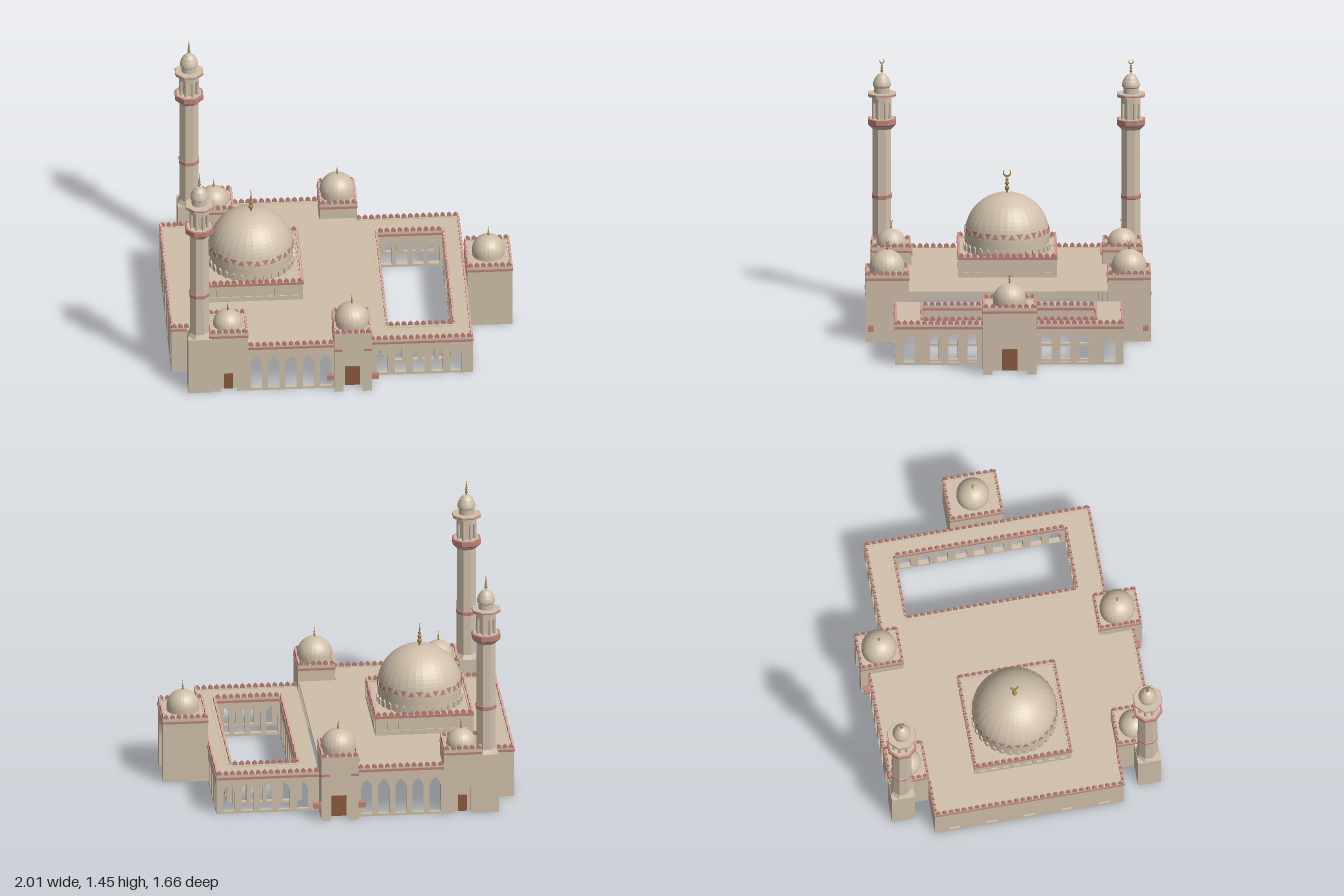
import * as THREE from 'three';
import { mergeGeometries } from 'three/addons/utils/BufferGeometryUtils.js';

const mat = (name, color) => Object.assign(new THREE.MeshStandardMaterial({ color }), { name });

export function createModel() {
  const stone = mat('sandstone', 0xcfbfaa), pink = mat('pinkTrim', 0xbd8278);
  const wood = mat('doorWood', 0x8a5a3a), gold = mat('gold', 0xa08444);
  const model = new THREE.Group();
  model.name = 'domedCourtyardBuilding';

  const add = (parent, name, geo, material, x = 0, y = 0, z = 0) => {
    const m = new THREE.Mesh(geo, material);
    m.name = name;
    m.position.set(x, y, z);
    parent.add(m);
    return m;
  };
  const group = (parent, name, x = 0, y = 0, z = 0, turn = 0) => {
    const g = new THREE.Group();
    g.name = name;
    g.position.set(x, y, z);
    g.rotation.y = turn;
    parent.add(g);
    return g;
  };
  const box = (w, h, d) => new THREE.BoxGeometry(w, h, d);
  const faceted = (geo) => {
    const g = geo.toNonIndexed();
    g.computeVertexNormals();
    return g;
  };
  const extrude = (shape, depth) => new THREE.ExtrudeGeometry(shape, { depth, bevelEnabled: false, curveSegments: 6 });
  // Horizontal slab from an x/z outline, with its top at y
  const slab = (name, pts, hole, y) => {
    const s = new THREE.Shape(pts.map(([x, z]) => new THREE.Vector2(x, -z)));
    if (hole) s.holes.push(new THREE.Path(hole.map(([x, z]) => new THREE.Vector2(x, -z))));
    add(model, name, extrude(s, 0.012).rotateX(-Math.PI / 2), stone, 0, y - 0.012, 0);
  };
  const rect = (x0, x1, z0, z1) => [[x0, z0], [x1, z0], [x1, z1], [x0, z1]];

  // Traces a pointed arch (or a plain rectangle) from its left foot to its right foot
  const traceArch = (p, { at, w, sill = 0.015, top, flat }) => {
    const spring = flat ? top : top - w * 0.85;
    p.lineTo(at - w / 2, sill);
    p.lineTo(at - w / 2, spring);
    if (flat) p.lineTo(at + w / 2, spring);
    else {
      p.quadraticCurveTo(at - w * 0.45, top - w * 0.25, at, top);
      p.quadraticCurveTo(at + w * 0.45, top - w * 0.25, at + w / 2, spring);
    }
    p.lineTo(at + w / 2, sill);
  };
  const merlonShape = new THREE.Shape([[-0.014, 0], [0.014, 0], [0.014, 0.012], [0, 0.025], [-0.014, 0.012]]
    .map((p) => new THREE.Vector2(...p)));
  const merlonGeo = extrude(merlonShape, 0.012);

  // Wall from a to b (x, z); its outer side lies to the right of the walking direction
  const wall = (parent, name, a, b, h, { y = 0, arches = [], band, closed, t = 0.02, merlons = true } = {}) => {
    const dx = b[0] - a[0], dz = b[1] - a[1], len = Math.hypot(dx, dz);
    const g = group(parent, name, a[0], y, a[1], Math.atan2(-dz, dx));
    const s = new THREE.Shape();
    s.moveTo(0, 0);
    for (const o of arches) if (o.sill === 0) traceArch(s, o);
    s.lineTo(len, 0);
    s.lineTo(len, h);
    s.lineTo(0, h);
    for (const o of arches) {
      if (o.sill === 0) continue;
      const hole = new THREE.Path();
      hole.moveTo(o.at + o.w / 2, o.sill ?? 0.015);
      traceArch(hole, o);
      s.holes.push(hole);
    }
    add(g, 'wallPanel', extrude(s, t), stone, 0, 0, -t);
    if (closed) for (const o of arches) {
      add(g, 'windowPanel', box(o.w + 0.01, o.top, 0.005), stone, o.at, o.top / 2 + 0.005, -t * 0.6);
    }
    if (band) add(g, 'trimBand', box(len, 0.014, 0.006), pink, len / 2, band - y, 0.001);
    if (merlons) {
      const n = Math.max(2, Math.round(len / 0.038));
      const row = Array.from({ length: n }, (_, i) => merlonGeo.clone().translate((i + 0.5) * len / n, h, -0.012));
      add(g, 'battlements', mergeGeometries(row), pink);
    }
    return g;
  };
  const spread = (n, from, to, o) => Array.from({ length: n }, (_, i) => ({ ...o, at: from + (to - from) * i / (n - 1) }));

  // Gold rod with beads and a crescent lying in the y/z plane
  const crescent = new THREE.Shape();
  crescent.absarc(0, 0, 0.024, Math.PI * 0.72, Math.PI * 2.28, false);
  crescent.absarc(0, 0.006, 0.018, Math.PI * 2.28, Math.PI * 0.72, true);
  const finial = (x, y, z, s) => {
    const g = group(model, 'finial', x, y, z);
    g.scale.setScalar(s);
    add(g, 'rod', new THREE.CylinderGeometry(0.004, 0.005, 0.1, 8), gold, 0, 0.045, 0);
    [[0.03, 0.014], [0.058, 0.012], [0.08, 0.009]].forEach(([h, r]) =>
      add(g, 'bead', new THREE.SphereGeometry(r, 10, 8), gold, 0, h, 0));
    add(g, 'crescent', extrude(crescent, 0.004).rotateY(Math.PI / 2), gold, -0.002, 0.117, 0);
  };
  const dome = (name, x, y, z, r, rise, seg) => {
    const geo = faceted(new THREE.SphereGeometry(r, seg, seg / 2, 0, Math.PI * 2, 0, Math.PI / 2)).scale(1, rise / r, 1);
    add(model, name, geo, stone, x, y, z);
  };

  // Square domed block with a recessed doorway on its local +z side
  const gate = (name, x, z, w, d, turn, o) => {
    const h = 0.395, g = group(model, name, x, 0, z, turn), X = w / 2, Z = d / 2;
    wall(g, 'front', [-X, Z], [X, Z], h, { arches: [{ at: X, w: o.aw, sill: 0, top: o.ah }], band: o.sideBars ? 0 : 0.37 });
    wall(g, 'rightSide', [X, Z], [X, -Z], h, { band: 0.37 });
    wall(g, 'back', [X, -Z], [-X, -Z], h, { band: 0.37 });
    wall(g, 'leftSide', [-X, -Z], [-X, Z], h, { band: 0.37 });
    add(g, 'roof', box(w - 0.01, 0.012, d - 0.01), stone, 0, h - 0.01, 0);
    add(g, 'doorWall', box(w - 0.03, h - 0.02, 0.01), stone, 0, h / 2 - 0.01, Z - o.recess);
    add(g, 'door', box(o.dw, o.dh, 0.008), wood, 0, o.dh / 2, Z - o.recess + 0.007);
    if (o.sideBars) for (const s of [-1, 1]) {
      add(g, 'sideBar', box(0.05, 0.03, 0.03), pink, s * (X + 0.018), 0.085, Z - 0.03);
      add(g, 'trimBand', box(0.045, 0.014, 0.006), pink, s * (X - 0.0225), 0.282, Z + 0.001);
    }
    const base = o.top - o.r;
    add(model, 'domeDrum', new THREE.CylinderGeometry(o.r, o.r, base - 0.385, 24), stone, x, (base + 0.385) / 2, z);
    dome('gateDome', x, base, z, o.r, o.r, 24);
    finial(x, o.top - 0.004, z, 0.45);
  };

  // Prayer hall walls and roof
  wall(model, 'hallBackWall', [-1, -0.555], [-1, 0.555], 0.3,
    { arches: spread(5, 0.115, 0.995, { w: 0.065, sill: 0.03, top: 0.225 }), band: 0.285, closed: true });
  const hallArches = { w: 0.065, top: 0.228 };
  wall(model, 'hallFrontWall', [-0.57, 0.78], [-0.07, 0.78], 0.3, { arches: spread(5, 0.05, 0.45, hallArches), band: 0.285 });
  wall(model, 'hallRearWall', [-0.07, -0.78], [-0.57, -0.78], 0.3, { arches: spread(5, 0.05, 0.45, hallArches), band: 0.285 });
  wall(model, 'hallFrontReturn', [-1, 0.555], [-0.79, 0.555], 0.3, { band: 0.285 });
  wall(model, 'hallRearReturn', [-0.79, -0.555], [-1, -0.555], 0.3, { band: 0.285 });
  const half = [[-0.995, 0.55], [-0.565, 0.55], [-0.565, 0.775], [-0.075, 0.775], [-0.075, 0.58], [0.14, 0.58]];
  slab('hallRoof', [...half, ...half.map(([x, z]) => [x, -z]).reverse()], rect(-0.775, -0.235, -0.27, 0.27), 0.297);

  // Raised platform with a row of small windows
  const C = -0.505, P = 0.285;
  const ring = [[C - P, P], [C + P, P], [C + P, -P], [C - P, -P]];
  ring.forEach((a, i) => wall(model, 'platformWall', a, ring[(i + 1) % 4], 0.135, {
    y: 0.28, band: 0.408, closed: true,
    arches: spread(8, 0.05, 0.52, { w: 0.04, sill: 0.045, top: 0.1, flat: true }),
  }));
  slab('platformRoof', rect(C - 0.28, C + 0.28, -0.28, 0.28), null, 0.405);

  // Main dome with a scalloped foot and a zigzag belt
  add(model, 'mainDrum', new THREE.CylinderGeometry(0.245, 0.245, 0.09, 32), stone, C, 0.445, 0);
  dome('mainDome', C, 0.49, 0, 0.246, 0.246, 32);
  const belt = group(model, 'domeBelt', C, 0, 0);
  const tri = extrude(new THREE.Shape([[-0.019, -0.016], [0.019, -0.016], [0, 0.018]].map((p) => new THREE.Vector2(...p))), 0.007);
  for (let i = 0; i < 32; i++) {
    const spoke = group(belt, 'beltPiece', 0, 0, 0, (i + 0.5) * Math.PI / 16);
    const t = add(spoke, 'zigzag', tri, pink, 0, 0.523, 0.2385);
    t.rotation.x = -0.13;
    if (i % 2) t.rotation.set(0.13, 0, Math.PI, 'ZXY');
    add(spoke, 'footScallop', merlonGeo, stone, 0, 0.425, 0.24);
    add(spoke, 'footBlock', box(0.028, 0.03, 0.012), stone, 0, 0.415, 0.246);
  }
  finial(C, 0.733, 0, 1);

  // Courtyard arcades
  const A = { w: 0.066, top: 0.183 }, H = 0.24, band = 0.218;
  const sideArches = spread(5, 0.075, 0.5, A);
  const endArches = [0.08, 0.235, 0.34, 0.45, 0.87, 0.98, 1.085, 1.24].map((at) => ({ ...A, at }));
  const courtArches = spread(9, 0.06, 0.94, A);
  wall(model, 'arcadeFront', [0.14, 0.66], [0.74, 0.66], H, { arches: sideArches, band });
  wall(model, 'arcadeEnd', [0.74, 0.66], [0.74, -0.66], H, { arches: endArches, band });
  wall(model, 'arcadeRear', [0.74, -0.66], [0.14, -0.66], H, { arches: sideArches, band });
  const inner = { band, t: 0.03 };
  wall(model, 'courtFront', [0.635, 0.5], [0.257, 0.5], H, { ...inner, arches: spread(4, 0.05, 0.33, A) });
  wall(model, 'courtRear', [0.257, -0.5], [0.635, -0.5], H, { ...inner, arches: spread(4, 0.05, 0.33, A) });
  wall(model, 'courtEnd', [0.635, -0.5], [0.635, 0.5], H, { ...inner, arches: courtArches });
  wall(model, 'courtPortico', [0.257, 0.5], [0.257, -0.5], H, { ...inner, arches: courtArches });
  slab('arcadeRoof', rect(0.145, 0.735, -0.655, 0.655), rect(0.25, 0.64, -0.505, 0.505), 0.237);

  // Entrance porch, side gates and corner blocks
  gate('entrancePorch', 0.87, 0, 0.31, 0.26, Math.PI / 2, { aw: 0.2, ah: 0.355, dw: 0.09, dh: 0.125, r: 0.095, top: 0.512, recess: 0.12 });
  for (const s of [1, -1]) {
    const turn = s > 0 ? 0 : Math.PI;
    gate('sideGate', 0.037, s * 0.7, 0.215, 0.25, turn,
      { aw: 0.11, ah: 0.35, dw: 0.085, dh: 0.125, r: 0.102, top: 0.522, recess: 0.08, sideBars: true });
    gate('cornerBlock', -0.68, s * 0.6675, 0.22, 0.225, turn,
      { aw: 0.095, ah: 0.225, dw: 0.052, dh: 0.1, r: 0.086, top: 0.482, recess: 0.04 });
  }

  // Minarets: octagonal shaft, balcony, open lantern and cap
  const octagon = (pts) => faceted(new THREE.LatheGeometry(
    pts.map(([r, y]) => new THREE.Vector2(r / Math.cos(Math.PI / 8), y)), 8, Math.PI / 8));
  for (const [x, z] of [[-0.848, 0.72], [-0.82, -0.72]]) {
    const g = group(model, 'minaret', x, 0, z);
    add(g, 'base', box(0.136, 0.36, 0.136), stone, 0, 0.18, 0);
    add(g, 'shaft', octagon([[0.068, 0.355], [0.054, 0.385], [0.053, 1.04], [0.075, 1.065], [0.075, 1.1], [0, 1.1]]), stone);
    add(g, 'shaftRing', octagon([[0.05, 0.628], [0.058, 0.632], [0.058, 0.652], [0.05, 0.656]]), pink);
    add(g, 'balconyRing', octagon([[0.07, 1.06], [0.081, 1.07], [0.081, 1.1], [0.07, 1.102]]), pink);
    add(g, 'lanternCore', octagon([[0.036, 1.095], [0.036, 1.24]]), stone);
    for (let i = 0; i < 8; i++) {
      const a = (i + 0.5) * Math.PI / 4;
      add(g, 'lanternColumn', new THREE.CylinderGeometry(0.009, 0.009, 0.12, 8), stone,
        Math.sin(a) * 0.051, 1.155, Math.cos(a) * 0.051);
    }
    add(g, 'lanternHead', octagon([[0, 1.195], [0.056, 1.195], [0.056, 1.225], [0.078, 1.232], [0.078, 1.252], [0, 1.252]]), stone);
    add(g, 'headTrim', octagon([[0.077, 1.238], [0.081, 1.24], [0.081, 1.246], [0.077, 1.248]]), pink);
    const cap = [[0.044, 1.25], [0.044, 1.285], [0.052, 1.292], [0.052, 1.305], [0.048, 1.32], [0.038, 1.342], [0.022, 1.36], [0, 1.37]];
    add(g, 'cap', faceted(new THREE.LatheGeometry(cap.map((p) => new THREE.Vector2(...p)), 20)), stone);
    finial(x, 1.364, z, 0.62);
  }
  return model;
}
